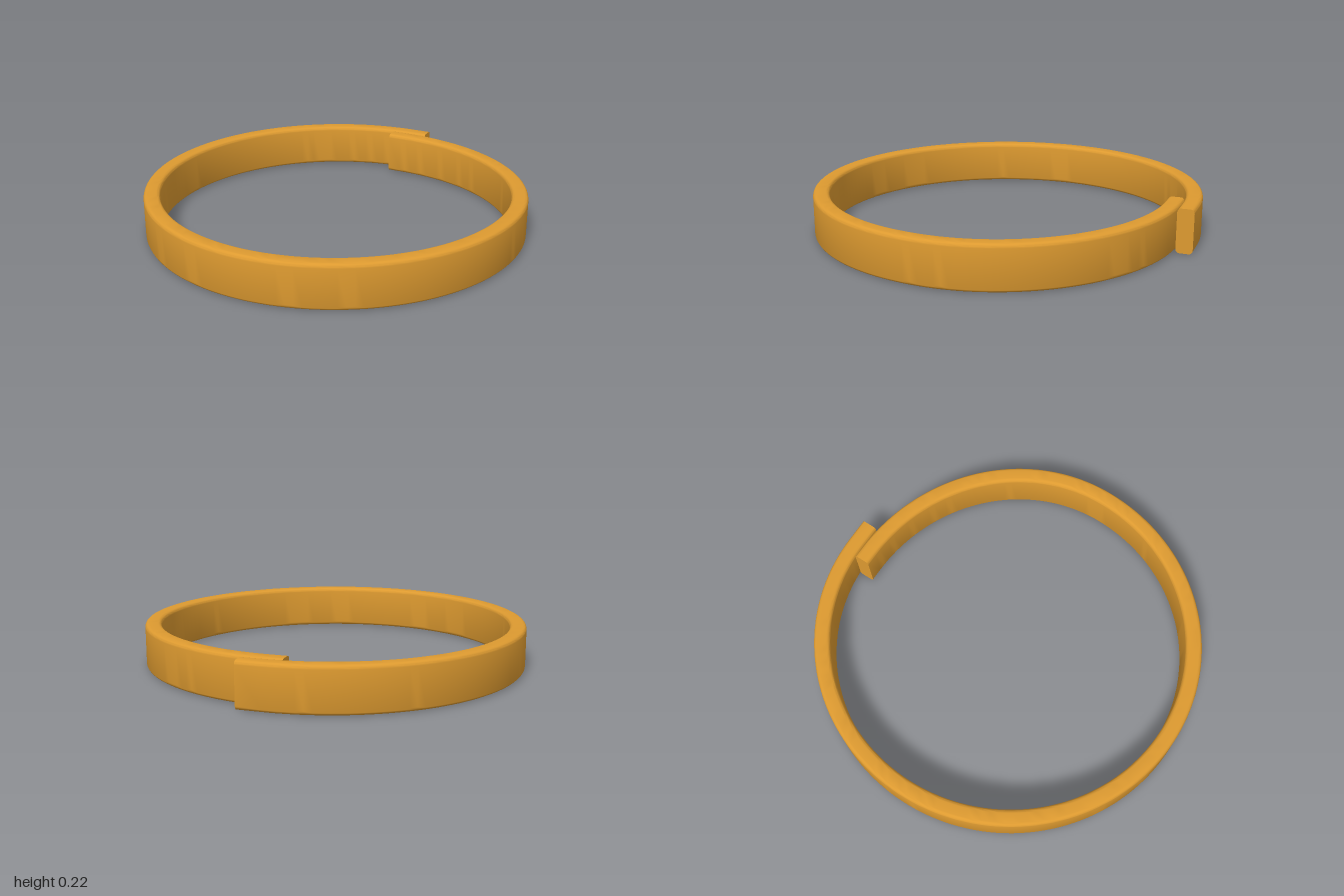
import * as THREE from 'three';
import { toCreasedNormals } from 'three/addons/utils/BufferGeometryUtils.js';

const THICK = 0.084, HEIGHT = 0.225, FILLET = 0.02;

// Centre line of the band in plan (x, z): a loop whose two ends overlap at the back
function bandPath() {
  const pts = [[-0.07, -0.872]];
  const n = 160;
  for (let i = 0; i <= n; i++) {
    const t = (i / n) * Math.PI * 2;
    const a = 0.942;
    const b = Math.cos(t) < 0 ? 0.956 : t < Math.PI ? 0.872 : 0.958;
    pts.push([a * Math.sin(t), -b * Math.cos(t)]);
  }
  pts.push([0.12, -0.958]);
  return pts.map(([x, z]) => new THREE.Vector2(x, z));
}

// Rounded rectangle, counter-clockwise: x is outward, y is up
function bandSection() {
  const pts = [], steps = 5;
  const w = THICK / 2 - FILLET, h = HEIGHT / 2 - FILLET;
  [[w, h], [-w, h], [-w, -h], [w, -h]].forEach(([cx, cy], q) => {
    for (let k = 0; k <= steps; k++) {
      const a = (q + k / steps) * Math.PI / 2;
      pts.push([cx + FILLET * Math.cos(a), cy + FILLET * Math.sin(a)]);
    }
  });
  return pts;
}

// Sweep the section along the path and close both ends
function sweep(path, section) {
  const pos = [], index = [], m = section.length, last = path.length - 1;
  path.forEach((p, i) => {
    const t = path[Math.min(i + 1, last)].clone().sub(path[Math.max(i - 1, 0)]).normalize();
    for (const [u, v] of section) pos.push(p.x + t.y * u, HEIGHT / 2 + v, p.y - t.x * u);
  });
  for (let i = 0; i < last; i++) {
    for (let j = 0; j < m; j++) {
      const k = (j + 1) % m;
      const a = i * m + j, b = i * m + k, c = a + m, d = b + m;
      index.push(a, b, d, a, d, c);
    }
  }
  for (let j = 1; j < m - 1; j++) {
    index.push(0, j + 1, j);
    index.push(last * m, last * m + j, last * m + j + 1);
  }
  const geo = new THREE.BufferGeometry();
  geo.setAttribute('position', new THREE.Float32BufferAttribute(pos, 3));
  geo.setIndex(index);
  return toCreasedNormals(geo, 0.6);
}

export function createModel() {
  const group = new THREE.Group();
  group.name = 'overlappingRing';
  const material = new THREE.MeshStandardMaterial({ color: 0xdd9a30 });
  const band = new THREE.Mesh(sweep(bandPath(), bandSection()), material);
  band.name = 'band';
  group.add(band);
  return group;
}
